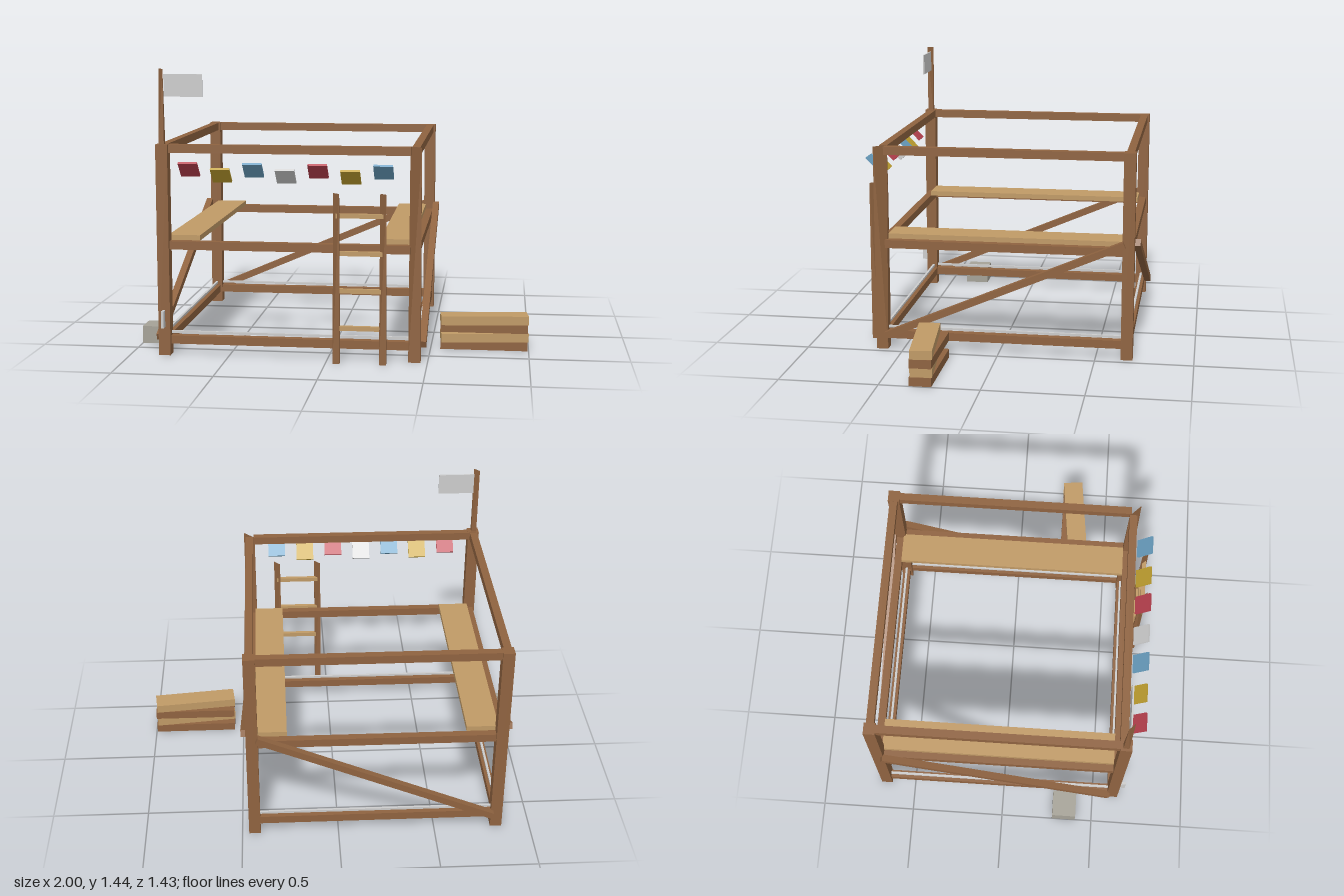
import * as THREE from 'three';
import { ConvexGeometry } from 'three/addons/geometries/ConvexGeometry.js';

const mat = (name, color) => {
  const m = new THREE.MeshStandardMaterial({ color });
  m.name = name;
  return m;
};

export function createModel() {
  const model = new THREE.Group();
  model.name = 'scaffoldFort';
  const timber = mat('timberBrown', 0x8f6340);
  const plank = mat('plankTan', 0xc09a66);
  const cloth = mat('clothGrey', 0xcccccc);
  const stone = mat('stoneGrey', 0xa5a297);
  const red = mat('buntingRed', 0xb8404e);
  const yellow = mat('buntingYellow', 0xc0a030);
  const blue = mat('buntingBlue', 0x6a9fc0);

  const add = (name, geo, material, parent = model) => {
    const m = new THREE.Mesh(geo, material);
    m.name = name;
    parent.add(m);
    return m;
  };
  // Box given by its low and high corners
  const box = (name, material, [x0, x1], [y0, y1], [z0, z1], parent) => {
    const m = add(name, new THREE.BoxGeometry(x1 - x0, y1 - y0, z1 - z0), material, parent);
    m.position.set((x0 + x1) / 2, (y0 + y1) / 2, (z0 + z1) / 2);
    return m;
  };
  // Square stake whose top narrows to a diagonal edge
  const stake = (name, material, [x0, x1], [y0, y1], [z0, z1], parent) => {
    const pts = [[x0, y0, z0], [x1, y0, z0], [x1, y0, z1], [x0, y0, z1], [x0, y1, z0], [x1, y1, z1]];
    return add(name, new ConvexGeometry(pts.map(p => new THREE.Vector3(...p))), material, parent);
  };

  // Corner posts
  const left = [-0.855, -0.795], right = [0.405, 0.465];
  const front = [0.58, 0.64], back = [-0.69, -0.63];
  const H = [0, 1.068];
  box('frontRightPost', timber, left, H, front);
  box('backRightPost', timber, left, H, back);
  box('backLeftPost', timber, right, H, back);
  stake('frontLeftPost', timber, right, H, front);

  // Three levels of horizontal beams
  for (const [level, y] of [['bottom', 0.077], ['middle', 0.56], ['top', 1.046]]) {
    const h = [y - 0.021, y + 0.021];
    for (const z of [0.6, -0.66]) box(level + 'CrossBeam', timber, [-0.8, 0.41], h, [z - 0.02, z + 0.02]);
    for (const x of [-0.825, 0.435]) box(level + 'SideBeam', timber, [x - 0.02, x + 0.02], h, [-0.64, 0.59]);
  }

  // Ropes just above the bottom beams
  for (const z of [0.6, -0.66]) box('crossRope', cloth, [-0.8, 0.41], [0.108, 0.12], [z - 0.006, z + 0.006]);
  for (const x of [-0.825, 0.435]) box('sideRope', cloth, [x - 0.006, x + 0.006], [0.108, 0.12], [-0.64, 0.59]);

  // Diagonal braces on the two sides and the back
  const brace = (name, a, b) => {
    const p = new THREE.Vector3(...a), q = new THREE.Vector3(...b);
    const m = add(name, new THREE.BoxGeometry(0.035, 0.035, p.distanceTo(q)), timber);
    m.position.copy(p).add(q).multiplyScalar(0.5);
    m.lookAt(q);
  };
  brace('rightBrace', [-0.862, 0.08, 0.585], [-0.862, 0.605, -0.64]);
  brace('leftBrace', [0.473, 0.08, 0.585], [0.473, 0.605, -0.64]);
  brace('backBrace', [-0.8, 0.085, -0.7], [0.41, 0.605, -0.7]);

  // Walkway planks
  box('rightWalkway', plank, [-0.81, -0.648], [0.58, 0.607], [-0.64, 0.58]);
  box('leftWalkway', plank, [0.258, 0.415], [0.58, 0.607], [-0.64, 0.58]);

  // Ladder
  const ladder = new THREE.Group();
  ladder.name = 'ladder';
  model.add(ladder);
  for (const x of [0.053, 0.283]) stake('ladderRail', timber, [x - 0.017, x + 0.017], [0, 0.845], [0.67, 0.705], ladder);
  for (const y of [0.177, 0.364, 0.55, 0.736]) box('ladderRung', plank, [0.05, 0.285], [y - 0.011, y + 0.011], [0.677, 0.698], ladder);

  // Flagpole and flag
  stake('flagpole', timber, [-0.842, -0.814], [1.06, 1.44], [0.595, 0.625]);
  box('flag', cloth, [-0.814, -0.62], [1.303, 1.414], [0.604, 0.612]);

  // Bunting, tilted outward in a zigzag
  [red, yellow, blue, cloth, red, yellow, blue].forEach((c, i) => {
    const m = add('bunting', new THREE.BoxGeometry(0.095, 0.1, 0.012), c);
    m.position.set(-0.677 + i * 0.16, i % 2 ? 0.924 : 0.951, 0.675);
    m.rotation.x = Math.PI / 4;
  });

  // Small plate on the front post
  box('postPlate', cloth, [-0.833, -0.82], [0.145, 0.232], [0.635, 0.672]);

  // Stone block
  box('stoneBlock', stone, [-1, -0.862], [0, 0.09], [0.28, 0.408]);

  // Stacked lumber, alternate layers turned slightly
  for (let i = 0; i < 4; i++) {
    const y = i * 0.045;
    const m = box('lumber', i % 2 ? plank : timber, [0.55, 0.995], [y, y + 0.045], [0.24, 0.35]);
    if (i % 2) {
      m.position.z = 0.315;
      m.rotation.y = 0.11;
    }
  }
  return model;
}
